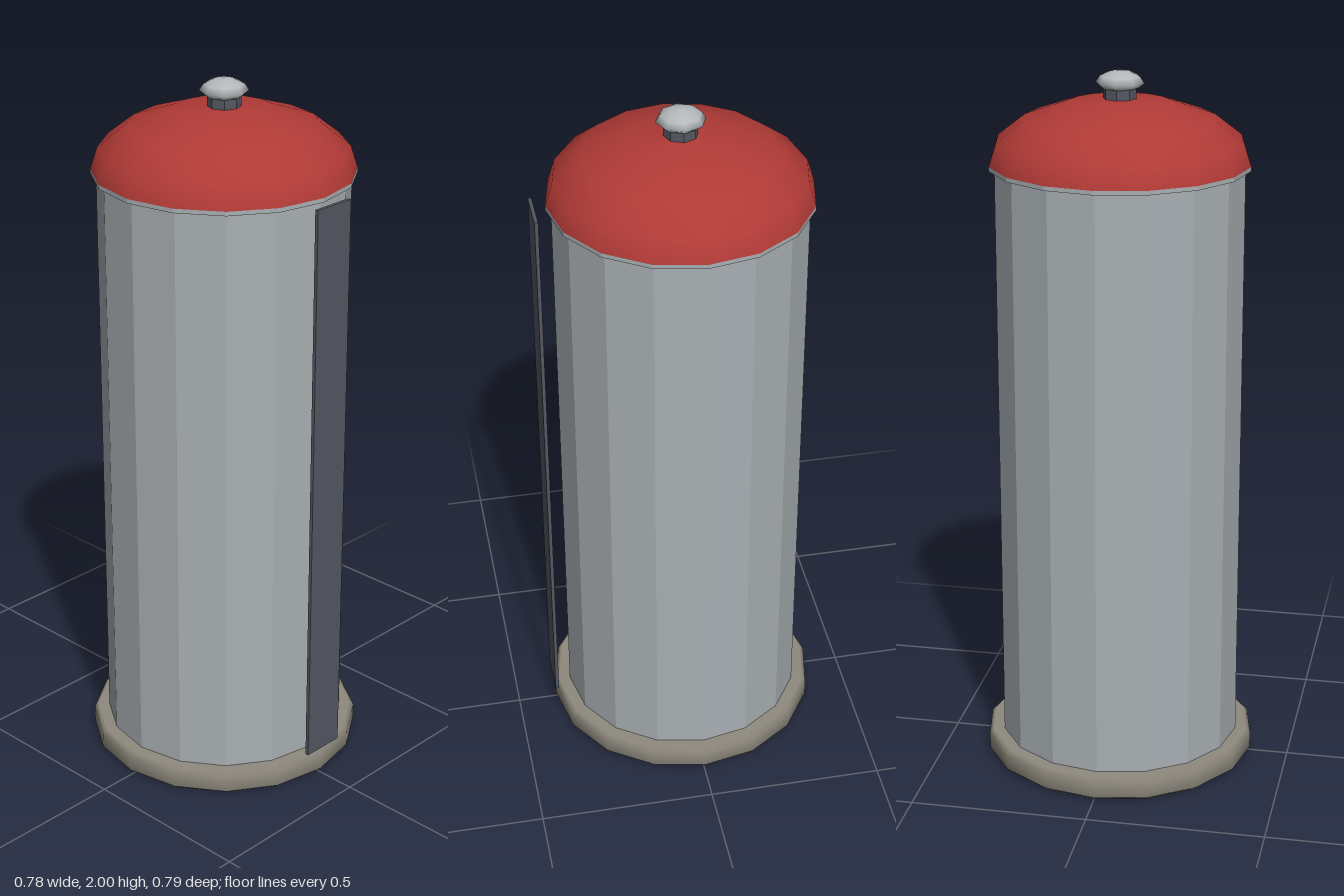
import * as THREE from 'three';

export function createModel() {
  const model = new THREE.Group();
  const SIDES = 16;
  const CENTRE_Z = -0.004;

  const material = (color, flatShading = false) =>
    new THREE.MeshStandardMaterial({ color, flatShading, side: THREE.DoubleSide });

  const add = (name, geometry, mat, y = 0, z = CENTRE_Z) => {
    const mesh = new THREE.Mesh(geometry, mat);
    mesh.name = name;
    mesh.position.set(0, y, z);
    model.add(mesh);
    return mesh;
  };

  // Profiles run from bottom to top as [radius, height]
  const lathe = (points, sides) =>
    new THREE.LatheGeometry(points.map(([r, y]) => new THREE.Vector2(r, y)), sides);

  const steel = material(0xa9afb3, true);
  const knobSteel = material(0xb4b8bb);
  const dark = material(0x555862, true);

  // Low stone-coloured foot with softened edges
  add('base', lathe([
    [0, 0], [0.375, 0], [0.39, 0.012], [0.39, 0.058], [0.378, 0.07], [0, 0.07],
  ], SIDES), material(0x8f8a7e));

  // Faceted tall body
  add('body', new THREE.CylinderGeometry(0.346, 0.346, 1.68, SIDES), steel, 0.07 + 0.84);

  // Thin metal rim under the lid
  add('lidRim', new THREE.CylinderGeometry(0.361, 0.361, 0.012, SIDES), steel, 1.744);

  // Smooth domed lid
  add('lid', lathe([
    [0.361, 1.75], [0.341, 1.812], [0.264, 1.872], [0.138, 1.915], [0, 1.928],
  ], SIDES), material(0xb03a36));

  // Knob on its short neck
  add('knobNeck', new THREE.CylinderGeometry(0.046, 0.046, 0.05, 8), dark, 1.94);
  add('knob', lathe([
    [0, 1.95], [0.05, 1.952], [0.067, 1.966], [0.055, 1.984], [0.03, 1.996], [0, 2],
  ], 8), knobSteel);

  // Dark upright strip standing just off the front
  add('frontStrip', new THREE.BoxGeometry(0.128, 1.65, 0.01), dark, 0.09 + 0.825, 0.389);

  return model;
}
